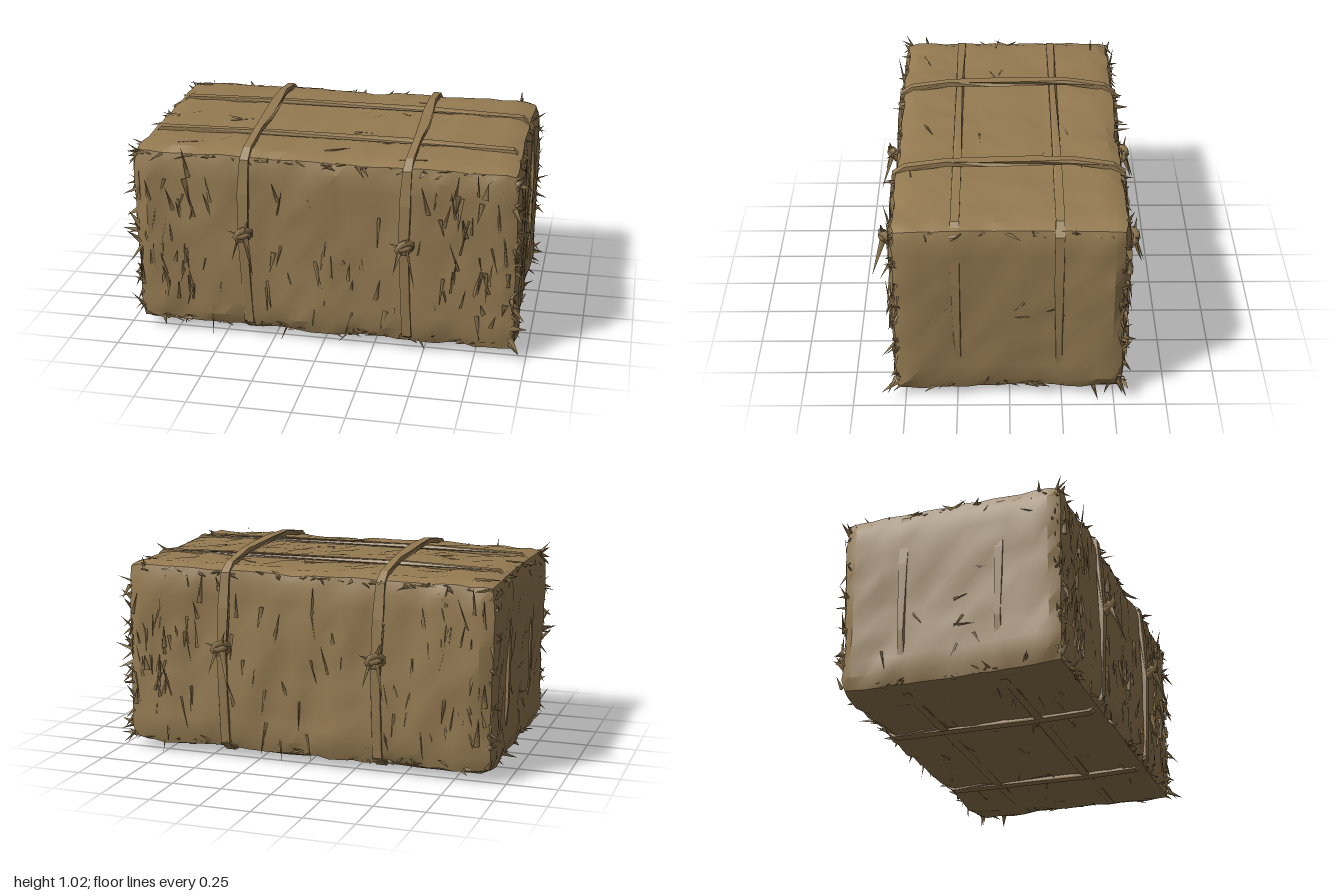
import * as THREE from 'three';
import { mergeGeometries, mergeVertices, toCreasedNormals } from 'three/addons/utils/BufferGeometryUtils.js';

const HX = 0.935, HY = 0.465, HZ = 0.555, CY = 0.48;

let seed = 7;
const rand = (a = 0, b = 1) => {
  seed = (seed * 16807) % 2147483647;
  return a + (b - a) * (seed / 2147483647);
};
const pick = () => (rand() < 0.5 ? -1 : 1);

// Lumpy offset along the surface, stretched along the straw direction
const lump = (x, y, z) =>
  Math.sin(x * 13 + z * 3) * 0.4 + Math.sin(x * 29 + y * 5 + 1) * 0.35 +
  Math.sin(z * 17 + y * 4 + x * 2) * 0.4 + Math.sin(y * 9 + x * 7) * 0.3;

// Chamfered, lumpy block with slightly flared ends
function baleGeometry() {
  let g = new THREE.BoxGeometry(2 * HX, 2 * HY, 2 * HZ, 30, 12, 16);
  g.deleteAttribute('uv');
  g.deleteAttribute('normal');
  g = mergeVertices(g, 1e-4);
  const p = g.attributes.position, v = new THREE.Vector3(), c = new THREE.Vector3(), r = 0.06;
  const inner = new THREE.Vector3(HX - r, HY - r, HZ - r);
  for (let i = 0; i < p.count; i++) {
    v.fromBufferAttribute(p, i);
    c.copy(v).clamp(inner.clone().negate(), inner);
    const n = v.clone().sub(c).normalize();
    const amount = 0.007 + 0.005 * Math.abs(n.z);
    const d = r + lump(v.x, v.y, v.z) * amount + rand(-0.006, 0.006);
    c.addScaledVector(n, d);
    c.x += Math.sign(n.x) * Math.abs(n.x) * 0.02 * (v.z / HZ) ** 2;
    p.setXYZ(i, c.x, c.y + CY, c.z);
  }
  return toCreasedNormals(g, 0.5);
}

// One flat, three-sided stalk from a base point along a direction
const UP = new THREE.Vector3(0, 1, 0);
function stalk(base, dir, length, width) {
  const g = new THREE.ConeGeometry(width, length, 3, 1);
  g.scale(1, 1, 0.55);
  g.translate(0, length / 2, 0);
  g.rotateY(rand(0, 6.28));
  g.applyQuaternion(new THREE.Quaternion().setFromUnitVectors(UP, dir.normalize()));
  return g.translate(base.x, base.y, base.z).toNonIndexed();
}
const V = (x, y, z) => new THREE.Vector3(x, y, z);

// Upright stalks lying on the front and back
function faceStraw() {
  const list = [];
  for (let i = 0; i < 230; i++) {
    const s = i % 2 ? 1 : -1, up = pick();
    const x = rand() < 0.5 ? rand(-0.9, 0.9) : pick() * rand(0.55, 0.92);
    list.push(stalk(V(x, CY + rand(-0.36, 0.36), s * (HZ - 0.003)),
      V(rand(-0.3, 0.3), up, s * rand(0.02, 0.22)), rand(0.06, 0.17), rand(0.008, 0.02)));
  }
  return list;
}

// Ragged spikes along all edges
function edgeStraw() {
  const list = [];
  for (let i = 0; i < 130; i++) {
    const sx = pick(), sz = pick();
    list.push(stalk(V(sx * (HX - 0.015), CY + rand(-0.44, 0.44), sz * (HZ - rand(0.01, 0.05))),
      V(sx * rand(0.1, 0.8), rand(-1, 1), sz * rand(0, 0.5)), rand(0.05, 0.1), rand(0.01, 0.02)));
  }
  for (let i = 0; i < 170; i++) {
    const sy = pick(), sz = pick();
    list.push(stalk(V(rand(-0.92, 0.92), CY + sy * (HY - 0.03), sz * (HZ - 0.025)),
      V(rand(-1, 1), sy * rand(-0.3, 0.25), sz * rand(0.1, 0.5)), rand(0.04, 0.09), rand(0.01, 0.02)));
  }
  for (let i = 0; i < 90; i++) {
    const sx = pick(), sy = pick();
    list.push(stalk(V(sx * (HX - 0.025), CY + sy * (HY - 0.03), rand(-0.52, 0.52)),
      V(sx * rand(0.1, 0.5), sy * rand(-0.5, 0.25), rand(-1, 1)), rand(0.04, 0.09), rand(0.01, 0.02)));
  }
  return list;
}

// A few loose stalks on the ends, top and bottom
function looseStraw() {
  const list = [];
  for (let i = 0; i < 22; i++) {
    const s = pick();
    list.push(stalk(V(s * (HX - 0.002), CY + rand(-0.35, 0.38), rand(-0.48, 0.48)),
      V(s * 0.1, rand(-1, 1), rand(-1, 1)), rand(0.06, 0.12), 0.01));
  }
  for (let i = 0; i < 60; i++) {
    const s = i < 15 ? 1 : -1;
    list.push(stalk(V(rand(-0.85, 0.85), CY + s * (HY - 0.004), rand(-0.48, 0.48)),
      V(pick(), s * rand(0, 0.06), rand(-0.5, 0.5)), rand(0.07, 0.15), 0.012));
  }
  return list;
}

// Closed band: loop outline with a hole, given depth and a sideways wander
function bandGeometry(points, thickness, width, wander) {
  const shape = new THREE.Shape(points.map(([a, b]) => new THREE.Vector2(a, b)));
  const mx = Math.max(...points.map((q) => q[0]));
  const kx = 1 - thickness / mx, ky = 1 - thickness / 0.49;
  shape.holes.push(new THREE.Path(points.map(([a, b]) =>
    new THREE.Vector2(a * kx, 0.49 + (b - 0.49) * ky)).reverse()));
  const g = new THREE.ExtrudeGeometry(shape, { depth: width, bevelEnabled: false });
  g.translate(0, 0, -width / 2);
  const p = g.attributes.position;
  for (let i = 0; i < p.count; i++) {
    const a = Math.atan2(p.getY(i) - 0.49, p.getX(i));
    p.setZ(i, p.getZ(i) * (1 + 0.25 * Math.sin(a * 5)) + wander * Math.sin(a * 3 + 1));
  }
  g.computeVertexNormals();
  return g;
}
const mirrored = (half) => [...half, ...half.map(([a, b]) => [-a, b]).reverse()];

export function createModel() {
  const group = new THREE.Group();
  const hay = new THREE.MeshStandardMaterial({ color: 0x957b52 });
  hay.name = 'dry hay';
  const add = (name, geometry, parent = group) => {
    const m = new THREE.Mesh(geometry, hay);
    m.name = name;
    parent.add(m);
    return m;
  };

  add('bale', baleGeometry());
  add('faceStraw', mergeGeometries(faceStraw()));
  add('edgeStraw', mergeGeometries(edgeStraw()));
  add('looseStraw', mergeGeometries(looseStraw()));

  // Cross bands around the short way, each with a knot in front and behind
  const cross = mirrored([[0.2, 0.0], [0.5, 0.008], [0.565, 0.06], [0.578, 0.25], [0.588, 0.5],
    [0.58, 0.75], [0.56, 0.92], [0.5, 0.965], [0.3, 0.997], [0.1, 1.0]]);
  for (const x of [-0.38, 0.41]) {
    const band = add('crossBand', bandGeometry(cross, 0.024, 0.045, 0.01));
    band.rotation.y = -Math.PI / 2;
    band.position.x = x;
    for (const s of [1, -1]) {
      const knot = new THREE.Group();
      knot.name = 'knot';
      knot.position.set(x, 0.55, s * 0.605);
      knot.rotation.y = s > 0 ? 0 : Math.PI;
      group.add(knot);
      add('knotLoop', new THREE.TorusGeometry(0.035, 0.02, 4, 7).toNonIndexed(), knot)
        .rotation.set(0.5, 0.5, 0.3);
      add('knotWrap', new THREE.TorusGeometry(0.028, 0.018, 4, 6), knot).rotation.set(1.3, 0.3, 0);
      const tails = [
        stalk(V(0.01, 0.01, 0.01), V(0.05, -0.19, 0.06), 0.21, 0.02),
        stalk(V(-0.02, 0, 0.01), V(-0.03, -0.13, 0.045), 0.13, 0.018),
        stalk(V(0, 0, 0.01), V(0.03, 0.09, 0.012), 0.1, 0.022),
        stalk(V(0, 0, 0.01), V(-0.07, 0.03, 0.02), 0.08, 0.02),
      ];
      add('knotTails', mergeGeometries(tails), knot);
    }
  }

  // Long bands over the top, ends and underside
  const long = mirrored([[0.4, 0.006], [0.86, 0.012], [0.925, 0.06], [0.945, 0.3], [0.948, 0.65],
    [0.935, 0.9], [0.88, 0.955], [0.4, 0.968]]);
  for (const z of [-0.235, 0.245]) {
    add('longBand', bandGeometry(long, 0.022, 0.036, 0.008)).position.z = z;
  }
  return group;
}
